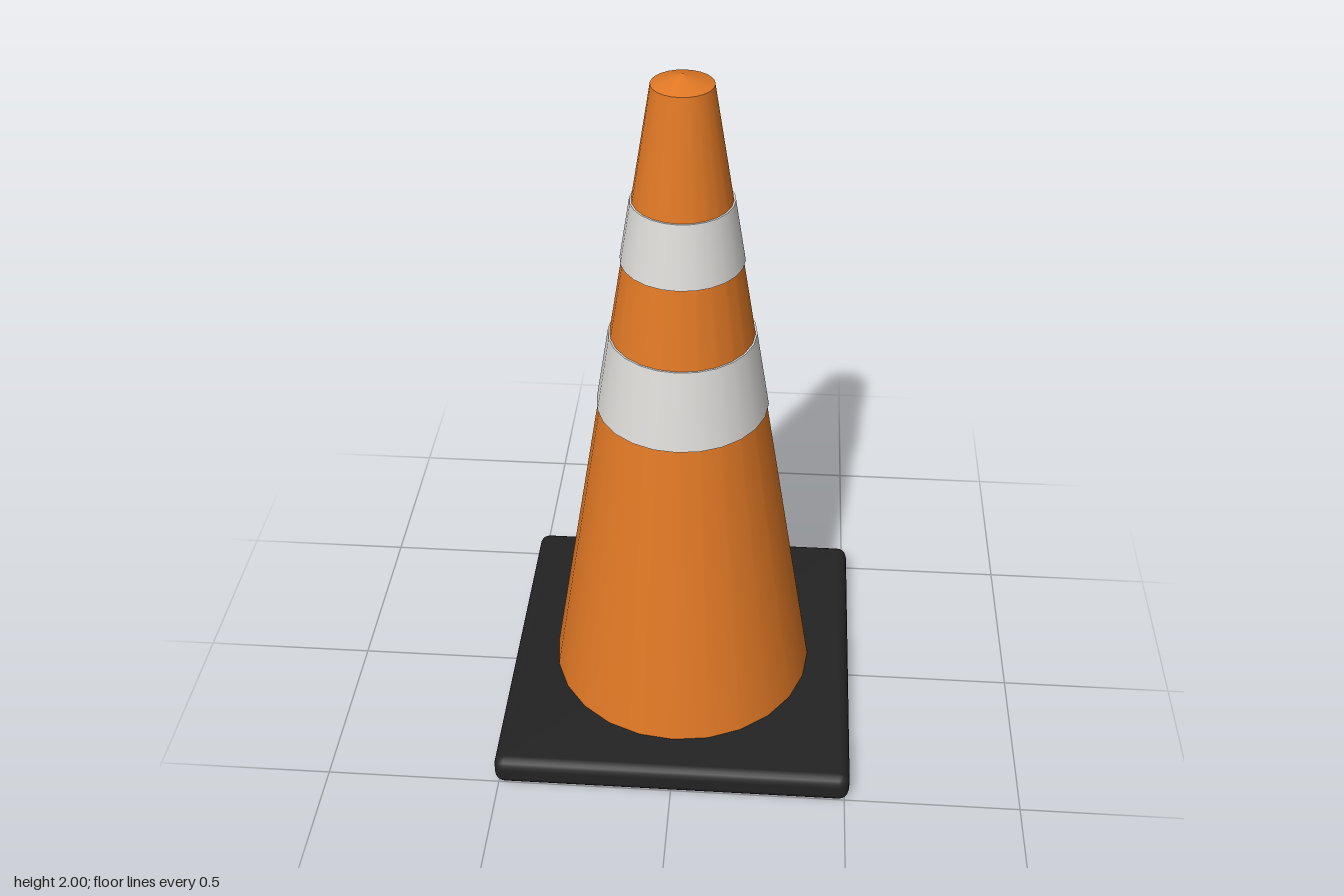
import * as THREE from 'three';
import { RoundedBoxGeometry } from 'three/addons/geometries/RoundedBoxGeometry.js';

const SIDES = 24;
const Y0 = 0.085, Y1 = 1.975, R0 = 0.386, R1 = 0.08;

// radius of the tapered body at a given height
const radiusAt = (y) => R0 + (R1 - R0) * (y - Y0) / (Y1 - Y0);

export function createModel() {
  const group = new THREE.Group();
  const material = (name, color) => {
    const m = new THREE.MeshStandardMaterial({ color });
    m.name = name;
    return m;
  };
  const orange = material('orange plastic', 0xe07825);
  const white = material('reflective white', 0xdddcd9);
  const black = material('black rubber', 0x232323);

  const add = (name, geometry, mat, y) => {
    const mesh = new THREE.Mesh(geometry, mat);
    mesh.name = name;
    mesh.position.y = y;
    group.add(mesh);
  };

  // square rubber foot
  add('base', new RoundedBoxGeometry(1.024, 0.09, 1.024, 2, 0.03), black, 0.045);

  // tapered body and its shallow pointed tip
  add('body', new THREE.CylinderGeometry(R1, R0, Y1 - Y0, SIDES, 1, true), orange, (Y0 + Y1) / 2);
  add('tip', new THREE.ConeGeometry(R1, 2 - Y1, SIDES, 1, true), orange, (Y1 + 2) / 2);

  // collars standing slightly proud of the body
  const addBand = (name, low, high) => {
    const out = 0.005;
    add(name, new THREE.CylinderGeometry(radiusAt(high) + out, radiusAt(low) + out, high - low, SIDES),
      white, (low + high) / 2);
  };
  addBand('lowerBand', 1.03, 1.26);
  addBand('upperBand', 1.485, 1.66);

  return group;
}
